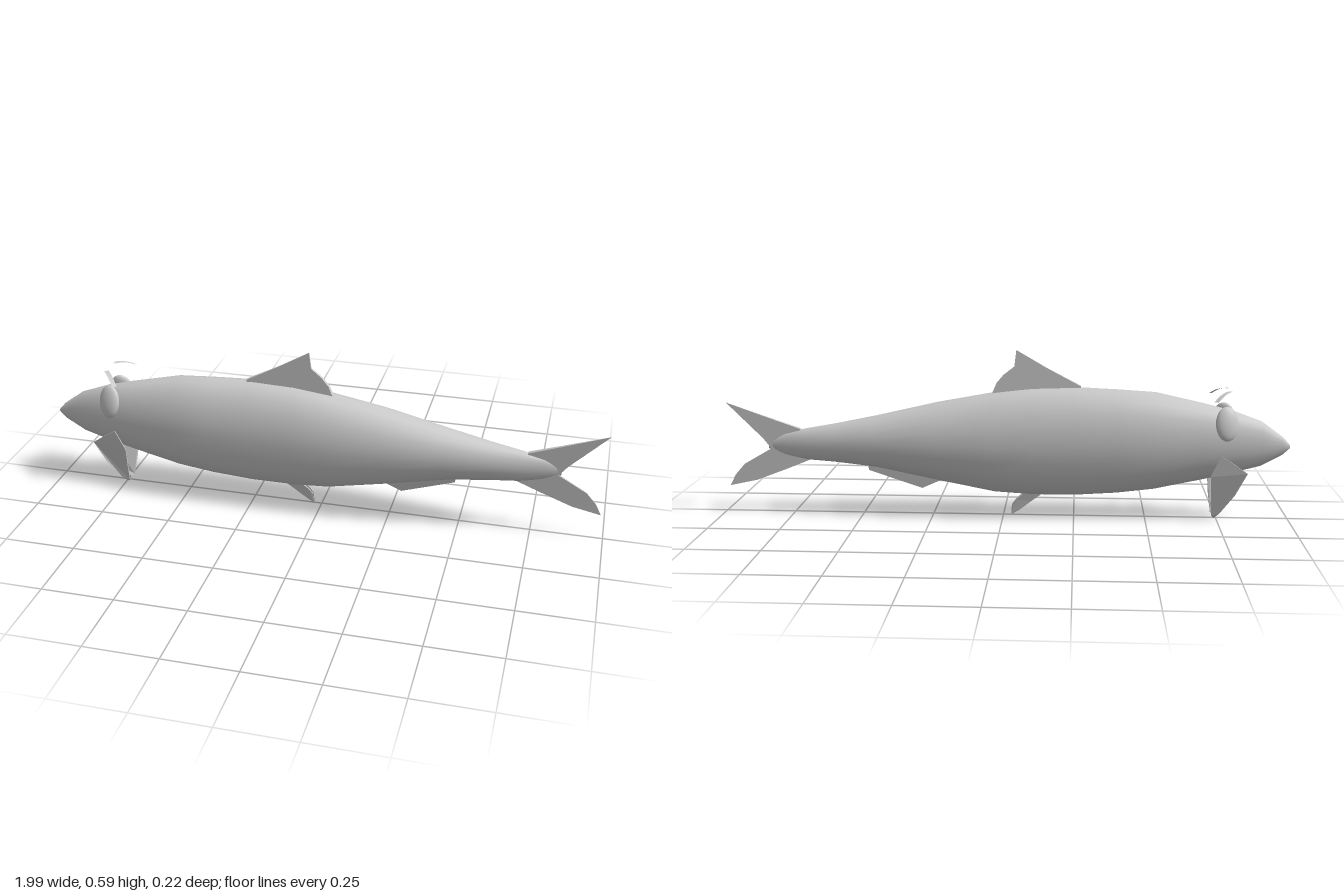
import * as THREE from 'three';

const grey = new THREE.MeshStandardMaterial({ color: 0xcccccc, side: THREE.DoubleSide });

function add(parent, name, geometry) {
  const mesh = new THREE.Mesh(geometry, grey);
  mesh.name = name;
  parent.add(mesh);
  return mesh;
}

// Smooth body lofted through elliptical sections: [x, top, bottom, half width]
function bodyGeometry() {
  const sections = [
    [-1, 0.272, 0.262, 0.003], [-0.975, 0.3, 0.238, 0.015], [-0.9, 0.355, 0.197, 0.035],
    [-0.8, 0.392, 0.17, 0.057], [-0.7, 0.417, 0.146, 0.075], [-0.53, 0.455, 0.109, 0.1],
    [-0.4, 0.463, 0.093, 0.107], [-0.25, 0.47, 0.083, 0.11], [-0.1, 0.465, 0.083, 0.11],
    [0.03, 0.45, 0.091, 0.11], [0.23, 0.413, 0.131, 0.103], [0.45, 0.362, 0.176, 0.078],
    [0.6, 0.331, 0.192, 0.052], [0.7, 0.313, 0.199, 0.033], [0.78, 0.295, 0.215, 0.016],
    [0.84, 0.265, 0.238, 0.002],
  ];
  const sides = 20, pos = [], index = [];
  sections.forEach(([x, top, bottom, w], i) => {
    for (let j = 0; j < sides; j++) {
      const a = (j / sides) * Math.PI * 2;
      pos.push(x, (top + bottom) / 2 + Math.cos(a) * (top - bottom) / 2, Math.sin(a) * w);
      if (i < sections.length - 1) {
        const p = i * sides + j, q = i * sides + (j + 1) % sides;
        index.push(p, q, p + sides, q, q + sides, p + sides);
      }
    }
  });
  // Close the nose and the tail end
  const last = (sections.length - 1) * sides;
  for (let j = 1; j < sides - 1; j++) {
    index.push(0, j + 1, j, last, last + j, last + j + 1);
  }
  const g = new THREE.BufferGeometry();
  g.setAttribute('position', new THREE.Float32BufferAttribute(pos, 3));
  g.setIndex(index);
  g.computeVertexNormals();
  return g;
}

// Thin fin from an outline; place(x, y) gives [middle z, half thickness]
function finGeometry(outline, place) {
  const shape = new THREE.Shape(outline.map(([x, y]) => new THREE.Vector2(x, y)));
  const g = new THREE.ExtrudeGeometry(shape, { depth: 2, bevelEnabled: false });
  const p = g.attributes.position;
  for (let i = 0; i < p.count; i++) {
    const [z, half] = place(p.getX(i), p.getY(i));
    p.setZ(i, z + (p.getZ(i) - 1) * half);
  }
  g.computeVertexNormals();
  return g;
}

// Half thickness fading from 0.008 at the root to almost nothing at the edge
const fade = (d, length) => 0.0008 + 0.008 * Math.max(0, 1 - d / length);

export function createModel() {
  const group = new THREE.Group();
  group.name = 'fish';
  add(group, 'body', bodyGeometry());

  // Fins on the midline
  add(group, 'dorsalFin', finGeometry(
    [[-0.27, 0.46], [0, 0.43], [0.04, 0.445], [0.025, 0.48], [0, 0.51], [-0.038, 0.54], [-0.045, 0.598], [-0.15, 0.537], [-0.27, 0.474]],
    (x, y) => [0, fade(y - 0.45, 0.15)]));
  add(group, 'tailFin', finGeometry(
    [[0.69, 0.2], [0.77, 0.167], [0.885, 0.122], [0.985, 0.1], [0.965, 0.14], [0.93, 0.18], [0.83, 0.238], [0.86, 0.275], [0.99, 0.402], [0.84, 0.35], [0.725, 0.311], [0.69, 0.26]],
    x => [0, fade(x - 0.7, 0.28)]));
  add(group, 'analFin', finGeometry(
    [[0.22, 0.145], [0.225, 0.13], [0.29, 0.1], [0.39, 0.134], [0.48, 0.165], [0.482, 0.19]],
    (x, y) => [0, fade(0.17 - y, 0.07)]));

  // Paired parts, mirrored across z
  for (const [side, s] of [['left', 1], ['right', -1]]) {
    add(group, side + 'PelvicFin', finGeometry(
      [[-0.14, 0.09], [-0.08, 0.095], [-0.045, 0.065], [-0.03, 0.045], [-0.028, 0.008], [-0.055, 0.025], [-0.1, 0.06]],
      (x, y) => [s * (0.003 + 0.12 * Math.max(0, y - 0.03)), fade(0.1 - y, 0.09) * 0.4]));

    add(group, side + 'PectoralFin', finGeometry(
      [[-0.85, 0.18], [-0.81, 0.1], [-0.76, 0.03], [-0.742, 0.01], [-0.733, 0.02], [-0.726, 0.09], [-0.722, 0.17], [-0.755, 0.246], [-0.8, 0.217]],
      (x, y) => [s * (0.008 + 0.06 * Math.sqrt(Math.max(0, y - 0.008) / 0.2)) * (1 + (x + 0.77) * 1.5), 0.002]));

    const eye = add(group, side + 'Eye', new THREE.SphereGeometry(1, 20, 14));
    eye.scale.set(0.04, 0.06, 0.018);
    eye.position.set(-0.773, 0.355, s * 0.059);
    eye.rotation.set(-s * 0.25, s * -0.2, 0);

    // Arched brow: a thin flat strip swept down and outward
    const brow = new THREE.PlaneGeometry(1, 1, 8, 1);
    const p = brow.attributes.position;
    for (let i = 0; i < p.count; i++) {
      const t = p.getX(i) + 0.5, w = p.getY(i) * 0.018;
      p.setXYZ(i, -0.785 + 0.055 * t + w * 0.7, 0.465 - 0.028 * t * t, s * (0.037 + 0.064 * t - w * 0.6));
    }
    brow.computeVertexNormals();
    add(group, side + 'Brow', brow);
  }
  return group;
}
